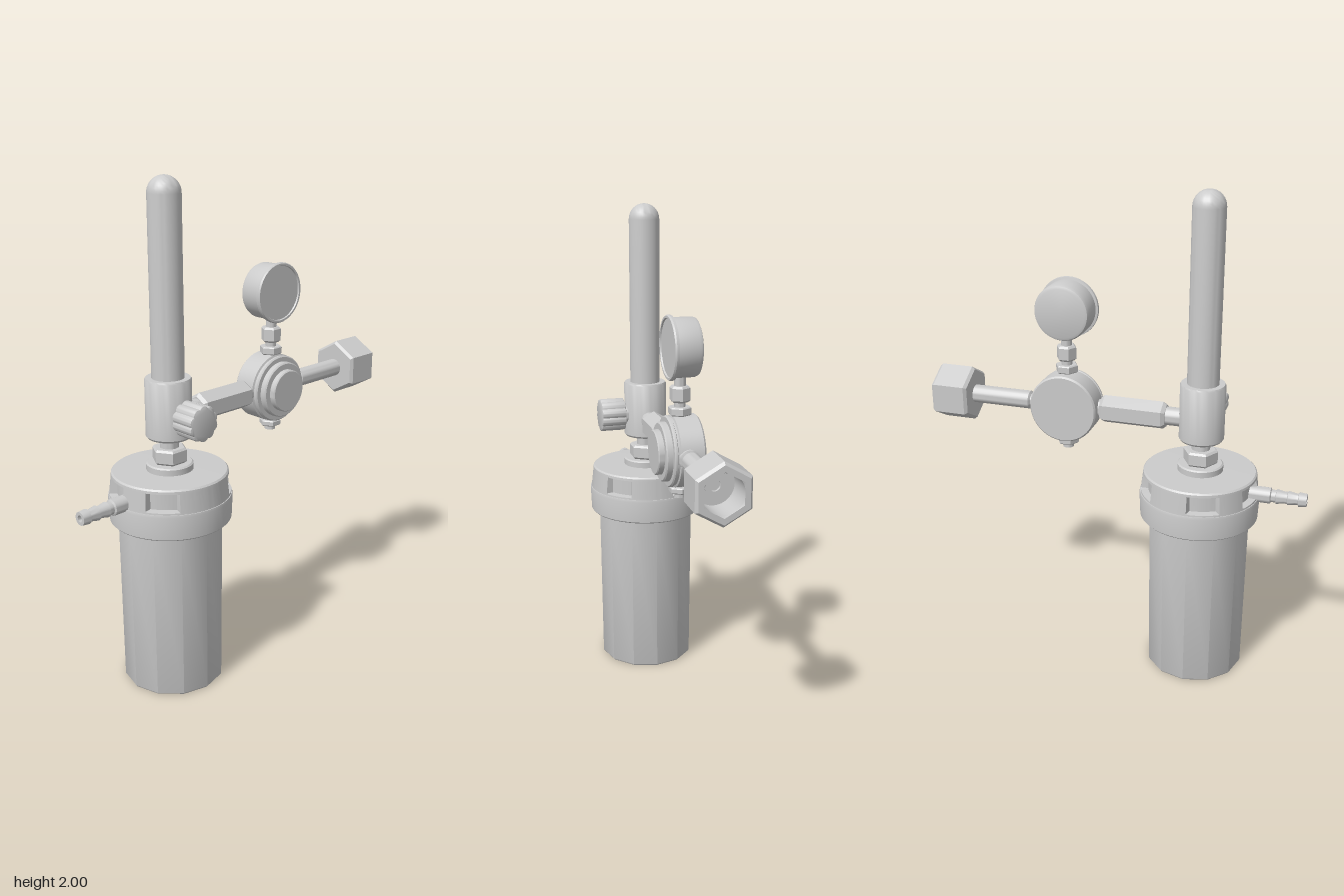
import * as THREE from 'three';
import { toCreasedNormals } from 'three/addons/utils/BufferGeometryUtils.js';

const grey = new THREE.MeshStandardMaterial({ color: 0xcccccc });
const JAR_X = -0.347, ARM_Y = 1.103, REG_X = 0.213;

export function createModel() {
  const model = new THREE.Group();

  function add(name, geometry, x = 0, y = 0, z = 0) {
    const mesh = new THREE.Mesh(toCreasedNormals(geometry, 0.6), grey);
    mesh.name = name;
    mesh.position.set(x, y, z);
    model.add(mesh);
    return mesh;
  }

  // Turned part: [radius, height] pairs from bottom to top, laid along an axis
  function turned(profile, sides = 40, axis = 'y') {
    const points = profile.map(([r, h]) => new THREE.Vector2(r, h));
    const g = new THREE.LatheGeometry(points, sides, sides === 6 ? Math.PI / 2 : 0);
    if (axis === 'x') g.rotateZ(-Math.PI / 2);
    if (axis === 'z') g.rotateX(Math.PI / 2);
    return g;
  }
  const rod = (r, a, b, axis = 'y') => turned([[0, a], [r, a], [r, b], [0, b]], 28, axis);
  const hex = (r, a, b, axis = 'y', c = 0.008) => turned(
    [[0, a], [r - c, a], [r, a + c], [r, b - c], [r - c, b], [0, b]], 6, axis);

  // Humidifier jar with a coarse round base
  add('jar', turned([[0, 0], [0.198, 0], [0.202, 0.006], [0.207, 0.7], [0, 0.7]], 12), JAR_X);
  add('lidRing', turned([[0, 0.69], [0.234, 0.69], [0.239, 0.695], [0.243, 0.785],
    [0.241, 0.795], [0, 0.795]], 48), JAR_X);

  // Lid skirt: vertices inside the grip windows are pulled inward
  const windows = [47, 122, 195, 254, 312];
  const lid = turned([[0.238, 0.79], [0.237, 0.802], [0.237, 0.804], [0.229, 0.872],
    [0.229, 0.874], [0.228, 0.884], [0.222, 0.89], [0, 0.893]], 180);
  const p = lid.attributes.position;
  for (let i = 0; i < p.count; i++) {
    const x = p.getX(i), y = p.getY(i), z = p.getZ(i);
    const angle = (Math.atan2(x, z) * 180 / Math.PI + 360) % 360;
    if (y > 0.803 && y < 0.873 && windows.some(w => Math.abs(angle - w) < 15)) {
      const k = 0.207 / Math.hypot(x, z);
      p.setXYZ(i, x * k, y, z * k);
    }
  }
  add('lid', lid, JAR_X);

  // Fittings above the lid
  add('lidBoss', turned([[0, 0.885], [0.092, 0.885], [0.092, 0.915], [0.086, 0.92], [0, 0.92]]), JAR_X);
  add('lidNut', hex(0.07, 0.92, 0.98), JAR_X);
  add('lidStem', rod(0.037, 0.97, 1.03), JAR_X);
  add('flowCollar', turned([[0, 1.022], [0.084, 1.022], [0.09, 1.03], [0.09, 1.25],
    [0.086, 1.257], [0.063, 1.257]]), JAR_X);

  // Domed flow tube
  const dome = [[0, 1.2], [0.063, 1.2]];
  for (let i = 0; i <= 10; i++) {
    const a = i / 10 * Math.PI / 2;
    dome.push([0.063 * Math.cos(a), 1.937 + 0.063 * Math.sin(a)]);
  }
  add('flowTube', turned(dome, 36), JAR_X);

  // Scalloped control knob
  const rim = [];
  for (let i = 0; i < 100; i++) {
    const a = i / 100 * Math.PI * 2, r = 0.057 + 0.008 * Math.abs(Math.sin(a * 5));
    rim.push(new THREE.Vector2(r * Math.cos(a), r * Math.sin(a)));
  }
  add('knob', new THREE.ExtrudeGeometry(new THREE.Shape(rim), {
    depth: 0.09, bevelThickness: 0.007, bevelSize: 0.005, bevelSegments: 2,
  }), JAR_X, 1.118, 0.103);
  add('knobStem', rod(0.04, 0.05, 0.11, 'z'), JAR_X, 1.118);

  // Barbed hose outlet with an open bore
  add('hoseOutlet', turned([[0, 0.1], [0.013, 0.1], [0.013, 0.0], [0.026, 0.0], [0.029, 0.032],
    [0.023, 0.034], [0.023, 0.045], [0.029, 0.075], [0.024, 0.077], [0.024, 0.09],
    [0.03, 0.12], [0.025, 0.122], [0.025, 0.14], [0.032, 0.144], [0.032, 0.22], [0.032, 0.3]], 24, 'x'),
  -0.78, 0.812);

  // Arm between flow tube and regulator
  add('armPipe', rod(0.037, -0.3, -0.19, 'x'), 0, ARM_Y);
  add('armBar', turned([[0, -0.204], [0.046, -0.204], [0.058, -0.19], [0.058, 0.053],
    [0.046, 0.067], [0, 0.067]], 6, 'x'), 0, ARM_Y);
  add('armNeck', rod(0.035, 0.05, 0.1, 'x'), 0, ARM_Y);

  // Regulator body with stepped front
  add('regulator', turned([[0, -0.067], [0.134, -0.067], [0.14, -0.06], [0.14, 0.03], [0.132, 0.033],
    [0.132, 0.04], [0.138, 0.043], [0.138, 0.05], [0.133, 0.055], [0.115, 0.055], [0.115, 0.076],
    [0.11, 0.081], [0.087, 0.081], [0.087, 0.101], [0.083, 0.105], [0, 0.105]], 56, 'z'), REG_X, ARM_Y);

  // Inlet pipe and hollow coupling nut
  add('inletCollar', turned([[0, 0.33], [0.04, 0.33], [0.04, 0.358], [0.028, 0.362],
    [0.028, 0.368], [0.037, 0.375], [0.037, 0.66], [0.022, 0.66], [0.022, 0.6], [0, 0.6]], 28, 'x'), 0, ARM_Y);
  add('inletNut', turned([[0.036, 0.62], [0.106, 0.62], [0.117, 0.632], [0.117, 0.763],
    [0.106, 0.775], [0.082, 0.775]], 6, 'x'), 0, ARM_Y);
  add('inletNutBore', turned([[0.088, 0.774], [0.076, 0.766], [0.076, 0.65], [0, 0.65]], 32, 'x'), 0, ARM_Y);

  // Gauge stem and relief fitting
  add('gaugeLowerNut', hex(0.046, 1.245, 1.277, 'y', 0.004), REG_X);
  add('gaugeStem', rod(0.022, 1.22, 1.41), REG_X);
  add('gaugeUpperNut', hex(0.041, 1.295, 1.358), REG_X);
  add('reliefStem', rod(0.022, 0.917, 1.0), REG_X);
  add('reliefNut', hex(0.045, 0.936, 0.96, 'y', 0.004), REG_X);

  // Pressure gauge with a recessed dial
  add('gauge', turned([[0, -0.063], [0.098, -0.063], [0.108, -0.059], [0.113, -0.048], [0.113, 0.032],
    [0.122, 0.034], [0.123, 0.044], [0.119, 0.05], [0.111, 0.05], [0.109, 0.044], [0, 0.044]], 48, 'z'),
  REG_X, 1.502);

  return model;
}
